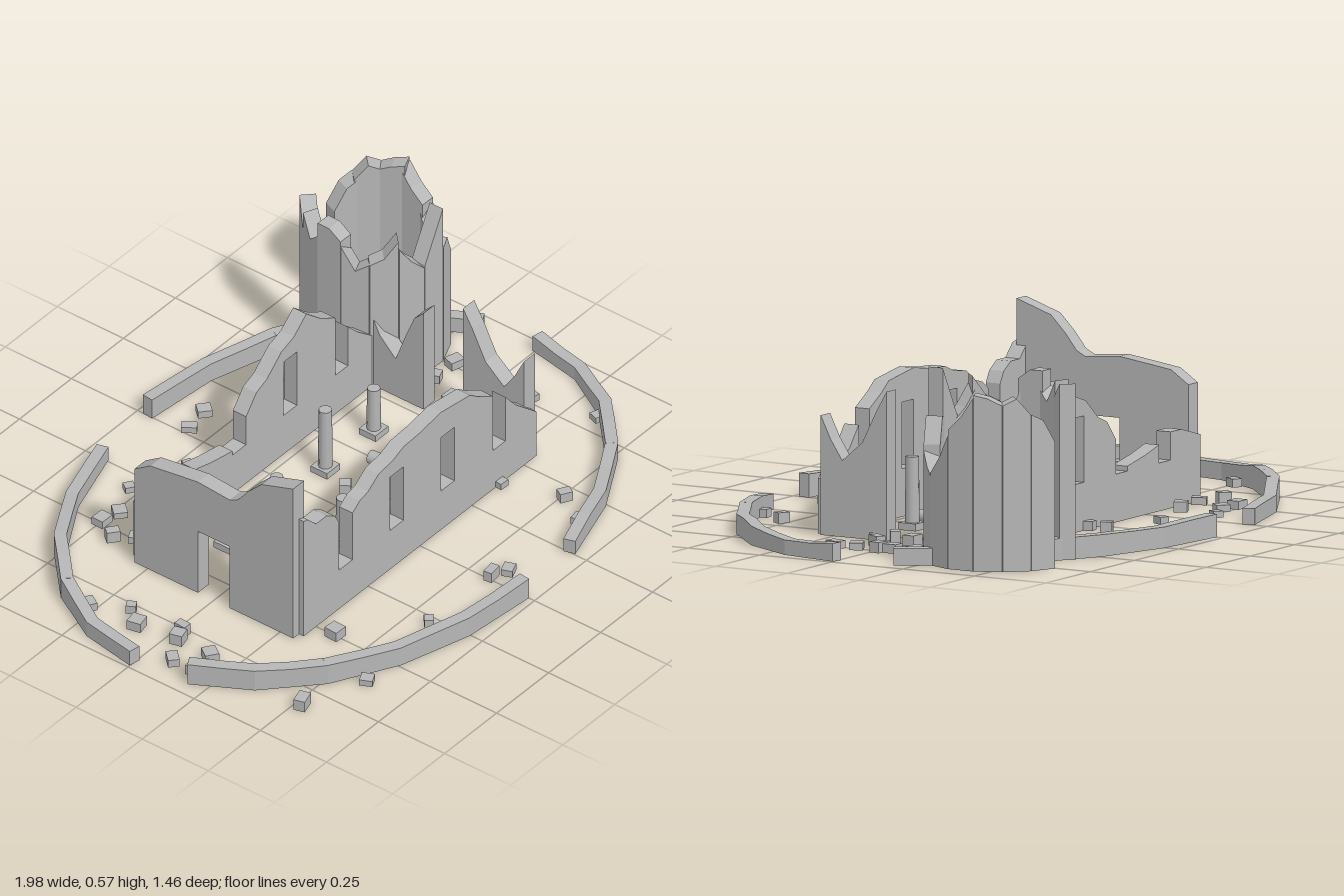
import * as THREE from 'three';

const stone = new THREE.MeshStandardMaterial({ color: 0xb6b6b6 });
stone.name = 'weathered stone';

// Upright slab: top profile [u, y] from left to right, optional windows [u0, u1, y0, y1], centred on its thickness
function slab(name, top, thick, windows = []) {
  const s = new THREE.Shape();
  s.moveTo(top[0][0], 0);
  s.lineTo(top[top.length - 1][0], 0);
  for (const [u, y] of [...top].reverse()) s.lineTo(u, y);
  s.closePath();
  for (const [a, b, c, d] of windows) {
    const h = new THREE.Path();
    h.moveTo(a, c); h.lineTo(a, d); h.lineTo(b, d); h.lineTo(b, c); h.closePath();
    s.holes.push(h);
  }
  const g = new THREE.ExtrudeGeometry(s, { depth: thick, bevelEnabled: false });
  g.translate(0, 0, -thick / 2);
  const m = new THREE.Mesh(g, stone);
  m.name = name;
  return m;
}

// Small repeatable number source
function seeded(seed) {
  return () => {
    seed = (seed * 16807) % 2147483647;
    return seed / 2147483647;
  };
}

function hall() {
  const g = new THREE.Group();
  g.name = 'hall';
  const sill = 0.145, head = 0.345;

  // Long walls; windows broken through at the top are notches in the profile
  const front = slab('frontWall', [
    [-0.56, 0.43], [-0.54, 0.425], [-0.5, 0.385], [-0.45, 0.385], [-0.41, 0.36], [-0.39, 0.325],
    [-0.39, sill], [-0.325, sill], [-0.325, 0.32], [-0.29, 0.345], [-0.25, 0.355], [-0.2, 0.39],
    [-0.13, 0.40], [-0.08, 0.42], [0, 0.425], [0.1, 0.44], [0.17, 0.43], [0.24, 0.42], [0.28, 0.39],
    [0.35, 0.35], [0.35, sill], [0.41, sill], [0.41, 0.31], [0.46, 0.25], [0.56, 0.165],
  ], 0.05, [[-0.145, -0.08, sill, head], [0.1, 0.165, sill, head]]);
  front.position.z = 0.293;
  const back = slab('backWall', [
    [-0.56, 0.2], [-0.45, 0.23], [-0.39, 0.23], [-0.39, sill], [-0.325, sill], [-0.325, 0.2],
    [-0.25, 0.18], [-0.145, 0.16], [-0.145, sill], [-0.08, sill], [-0.08, 0.25], [-0.03, 0.31],
    [0.02, 0.33], [0.09, 0.39], [0.15, 0.41], [0.21, 0.46], [0.28, 0.4], [0.35, 0.36],
    [0.35, sill], [0.41, sill], [0.41, 0.29], [0.46, 0.24], [0.56, 0.16],
  ], 0.05, [[0.1, 0.165, sill, head]]);
  back.position.z = -0.302;
  g.add(front, back);

  // End walls, profiles running along z; the far end keeps its doorway
  const end = (name, x, top) => {
    const m = slab(name, top, 0.053);
    m.geometry.rotateY(-Math.PI / 2);
    m.position.x = x;
    g.add(m);
    return m;
  };
  const doorTop = 0.23;
  end('endWallBack', -0.561, [[-0.3, 0.35], [-0.24, 0.39], [-0.17, 0.4], [-0.06, 0.415], [-0.06, 0]]);
  end('endWallFront', -0.561, [[0.06, 0.405], [0.09, 0.42], [0.13, 0.47], [0.18, 0.52], [0.24, 0.54], [0.3, 0.56]]);
  const lintel = slab('doorLintel', [[-0.06, 0.415 - doorTop], [0, 0.41 - doorTop], [0.06, 0.405 - doorTop]], 0.053);
  lintel.geometry.rotateY(-Math.PI / 2);
  lintel.position.set(-0.561, doorTop, 0);
  g.add(lintel);
  end('brokenEndWallFront', 0.555, [[0.065, 0.45], [0.1, 0.39], [0.15, 0.29], [0.22, 0.23], [0.26, 0.29], [0.295, 0.36]]);
  end('brokenEndWallBack', 0.555, [[-0.3, 0.3], [-0.25, 0.2], [-0.19, 0.14], [-0.15, 0.25], [-0.12, 0.325], [-0.085, 0.36]]);
  return g;
}

function columns() {
  const g = new THREE.Group();
  g.name = 'columns';
  const heights = [[0.2, 0.12, 0.23, 0.17], [0.25, 0.16, 0.13, 0.22]];
  [-0.13, 0.12].forEach((z, r) => [-0.353, -0.12, 0.114, 0.347].forEach((x, i) => {
    const h = heights[r][i];
    const base = new THREE.Mesh(new THREE.BoxGeometry(0.062, 0.022, 0.062), stone);
    base.name = 'columnBase';
    base.position.set(x, 0.011, z);
    const shaft = new THREE.Mesh(new THREE.CylinderGeometry(0.02, 0.022, h - 0.02, 10), stone);
    shaft.name = 'columnShaft';
    shaft.position.set(x, 0.02 + (h - 0.02) / 2, z);
    g.add(base, shaft);
  }));

  // Toppled shafts: start x, z and end x, z
  for (const [x0, z0, x1, z1] of [
    [-0.505, 0.1, -0.42, 0.2], [-0.105, 0.135, -0.125, 0.27], [0.085, 0.145, 0.005, 0.265],
    [0.228, -0.05, 0.243, 0.165], [-0.295, -0.235, -0.185, -0.262],
  ]) {
    const m = new THREE.Mesh(new THREE.CylinderGeometry(0.021, 0.021, Math.hypot(x1 - x0, z1 - z0), 10), stone);
    m.name = 'fallenColumn';
    m.position.set((x0 + x1) / 2, 0.023, (z0 + z1) / 2);
    m.quaternion.setFromUnitVectors(new THREE.Vector3(0, 1, 0), new THREE.Vector3(x1 - x0, 0, z1 - z0).normalize());
    g.add(m);
  }
  return g;
}

// Round tower of upright panels; the open back is left out. Heights: start, middle, end
function tower() {
  const g = new THREE.Group();
  g.name = 'roundTower';
  g.position.set(0.708, 0, -0.408);
  const tops = [
    [0.53, 0.5, 0.47], [0.53, 0.46, 0.5], [0.55, 0.55, 0.52], [0.5, 0.42, 0.45], [0.45, 0.47, 0.53],
    [0.5, 0.44, 0.40], [0.41, 0.49, 0.57], [0.42, 0.43, 0.35], [0.33, 0.29, 0.27], [0.28, 0.33, 0.40],
    [0.42, 0.46, 0.52], [0.53, 0.52, 0.5], [0.5, 0.52, 0.47], [0.47, 0.45, 0.38],
  ];
  tops.forEach(([a, b, c], i) => {
    const phi = (i - 6) * Math.PI / 8, w = 0.043;
    const m = slab('towerPanel', [[-w, a], [0, b], [w, c]], 0.05);
    m.rotation.y = phi;
    m.position.set(Math.sin(phi) * 0.197, 0, Math.cos(phi) * 0.197);
    g.add(m);
  });
  return g;
}

// Low oval boundary wall in 15 degree lengths with four gaps
function boundary() {
  const g = new THREE.Group();
  g.name = 'boundaryWall';
  const rand = seeded(31);
  const node = i => [0.972 * Math.cos(i * Math.PI / 12), 0.71 * Math.sin(i * Math.PI / 12)];
  let h0 = 0.055;
  for (let i = 0; i < 24; i++) {
    const h1 = 0.045 + 0.03 * rand(), mid = (h0 + h1) / 2 + 0.012 * (rand() - 0.4);
    if (![5, 11, 17, 23].includes(i)) {
      const [x0, z0] = node(i), [x1, z1] = node(i + 1);
      const l = Math.hypot(x1 - x0, z1 - z0) / 2 + 0.003;
      const m = slab('boundaryLength', [[-l, h0], [0, mid], [l, h1]], 0.038);
      m.position.set((x0 + x1) / 2, 0, (z0 + z1) / 2);
      m.rotation.y = Math.atan2(z0 - z1, x1 - x0);
      g.add(m);
    }
    h0 = h1;
  }
  return g;
}

// Loose blocks on the ground
function rubble() {
  const g = new THREE.Group();
  g.name = 'rubble';
  const rand = seeded(77);
  const spots = [
    [-0.32, -0.53], [-0.43, -0.48], [-0.495, -0.495], [-0.54, -0.42], [-0.355, -0.385], [-0.5, -0.36],
    [-0.13, -0.455], [0.02, -0.57], [0.11, -0.585], [0.09, -0.4], [0.375, -0.535], [0.41, -0.415],
    [0.41, -0.37], [-0.84, -0.27], [-0.78, -0.16], [-0.83, -0.1], [-0.77, 0.025], [-0.81, 0.04],
    [-0.9, 0.09], [-0.815, 0.165], [-0.9, 0.17], [-0.88, 0.2], [-0.83, 0.525], [-0.62, 0.605],
    [-0.5, 0.39], [-0.285, 0.575], [0.01, 0.58], [0.06, 0.605], [0.445, 0.515], [0.38, 0.615],
    [0.81, 0.35], [0.38, 0.32], [0.07, -0.02], [0.115, 0.04], [0.665, -0.145], [0.755, -0.145],
    [0.605, -0.04], [0.75, -0.06], [0.765, -0.02], [0.675, 0.04], [0.75, 0.065], [0.765, 0.13],
    [0.59, 0.03], [0.565, 0.11], [0.085, -0.335],
  ];
  for (const [x, z] of spots) {
    const h = 0.02 + 0.018 * rand();
    const m = new THREE.Mesh(new THREE.BoxGeometry(0.028 + 0.02 * rand(), h, 0.028 + 0.024 * rand()), stone);
    m.name = 'rubbleBlock';
    m.position.set(x, h / 2, z);
    m.rotation.y = rand() * Math.PI;
    g.add(m);
  }
  return g;
}

export function createModel() {
  const model = new THREE.Group();
  model.name = 'ruinedHall';
  model.add(hall(), columns(), tower(), boundary(), rubble());
  return model;
}
